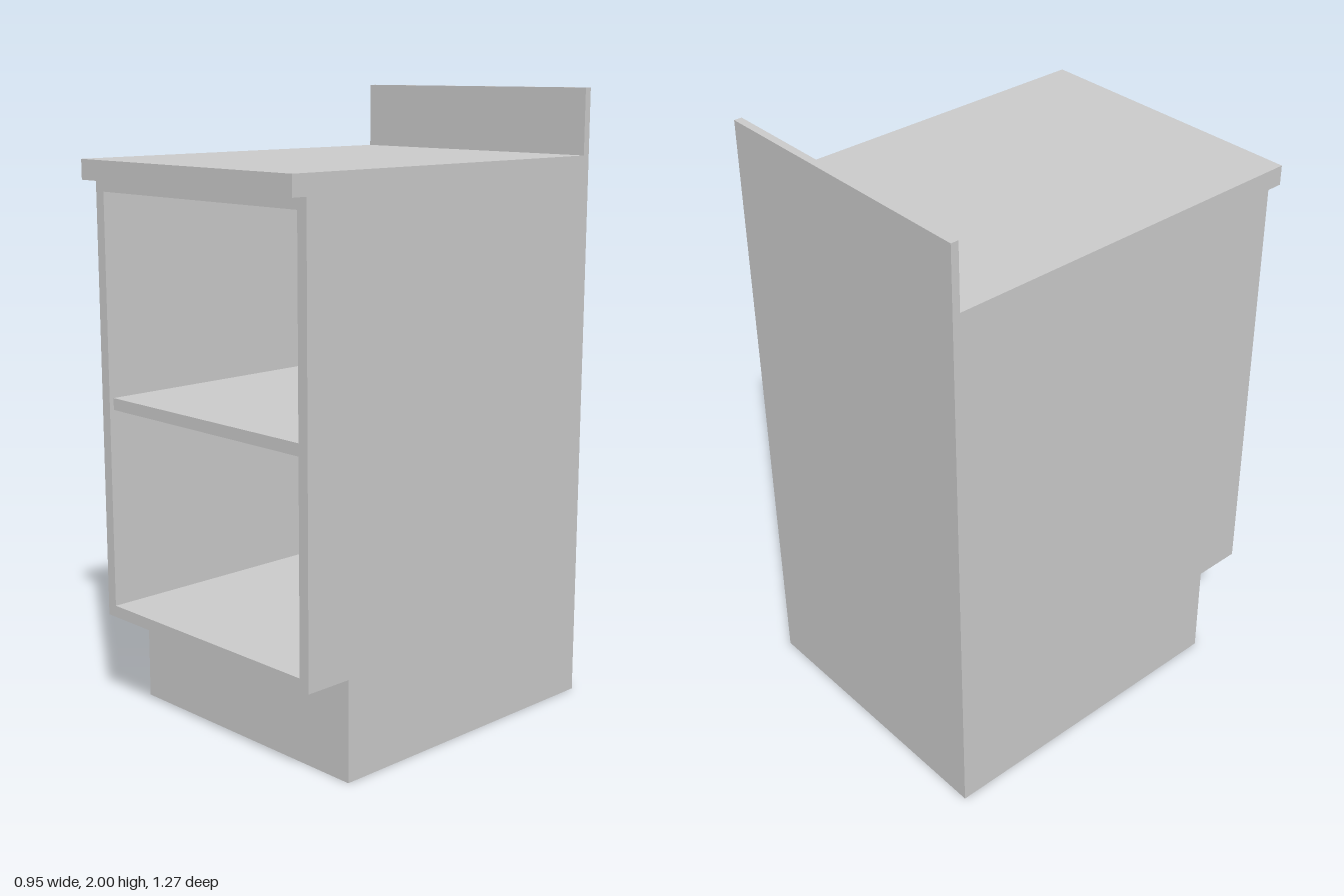
import * as THREE from 'three';

export function createModel() {
  const group = new THREE.Group();
  const material = new THREE.MeshStandardMaterial({ color: 0xcccccc, flatShading: true });

  // Box given by its extents on each axis
  const box = (name, [x0, x1], [y0, y1], [z0, z1]) => {
    const mesh = new THREE.Mesh(new THREE.BoxGeometry(x1 - x0, y1 - y0, z1 - z0), material);
    mesh.position.set((x0 + x1) / 2, (y0 + y1) / 2, (z0 + z1) / 2);
    mesh.name = name;
    group.add(mesh);
  };

  const W = 0.475, inner = 0.438;       // outer and inner half widths
  const back = -0.635, backFace = -0.61; // back panel faces
  const front = 0.583;                   // carcass front
  const full = [-W, W], inside = [-inner, inner];

  // Recessed plinth
  box('plinth', full, [0, 0.322], [back, 0.425]);

  // Open carcass
  box('leftSide', [inner, W], [0.322, 1.727], [back, front]);
  box('rightSide', [-W, -inner], [0.322, 1.727], [back, front]);
  box('bottomPanel', inside, [0.322, 0.36], [back, front]);
  box('topPanel', inside, [1.69, 1.727], [back, front]);
  box('backPanel', inside, [0.36, 1.69], [back, backFace]);
  box('shelf', inside, [1.005, 1.043], [backFace, front - 0.015]);

  // Worktop overhanging the front, with upstand behind
  box('worktop', full, [1.727, 1.79], [back, 0.635]);
  box('upstand', full, [1.79, 2], [back, backFace]);

  return group;
}
